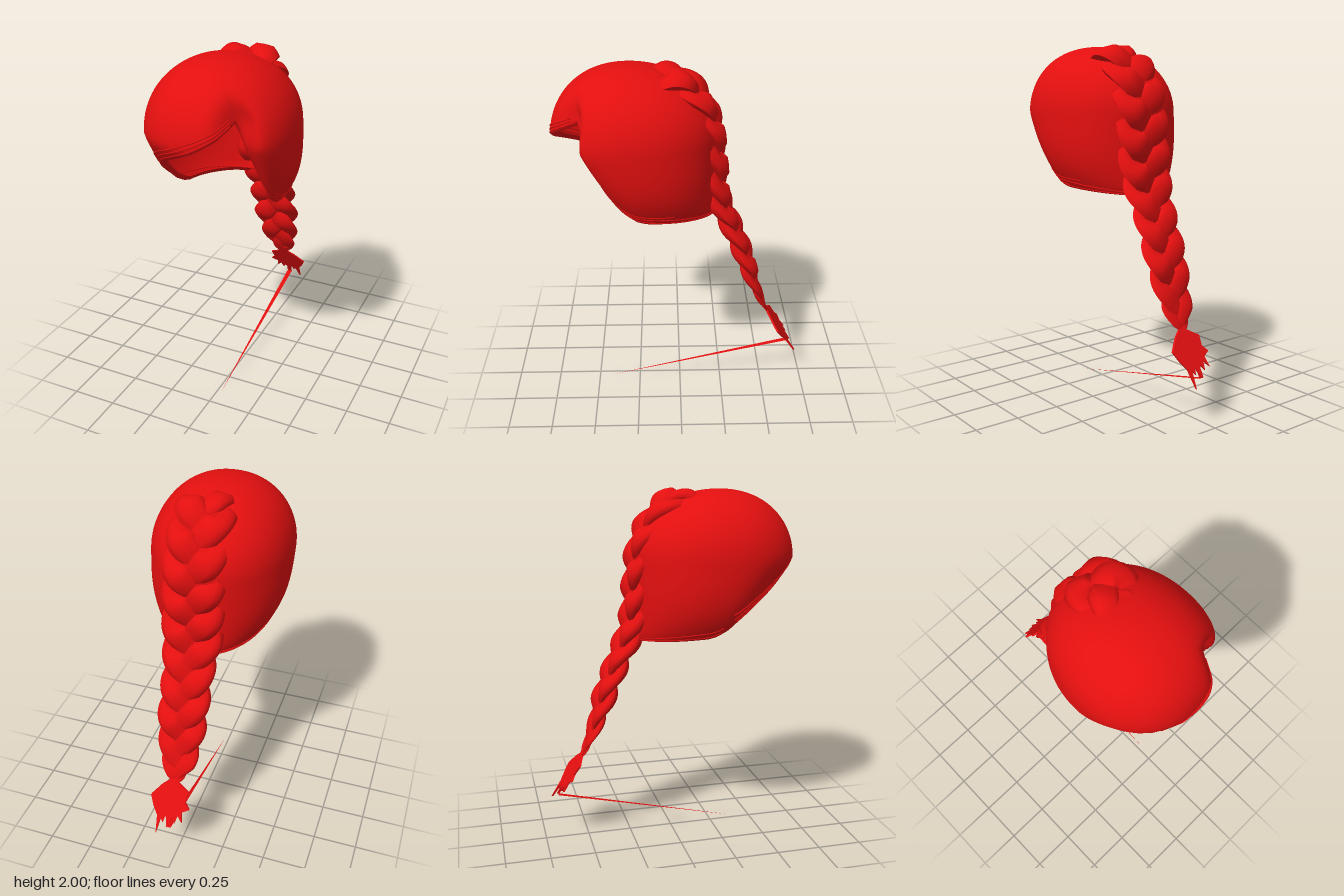
import * as THREE from 'three';

const red = new THREE.MeshStandardMaterial({ color: 0xe30f0f, side: THREE.DoubleSide });
red.name = 'red hair';

// smooth surface from a rule (u, v in 0..1) -> Vector3
function grid(nu, nv, rule) {
  const pos = [], idx = [];
  for (let i = 0; i <= nu; i++)
    for (let j = 0; j <= nv; j++) pos.push(...rule(i / nu, j / nv).toArray());
  for (let i = 0; i < nu; i++)
    for (let j = 0; j < nv; j++) {
      const a = i * (nv + 1) + j, b = a + nv + 1;
      idx.push(a, b, a + 1, b, b + 1, a + 1);
    }
  const g = new THREE.BufferGeometry();
  g.setAttribute('position', new THREE.Float32BufferAttribute(pos, 3));
  g.setIndex(idx);
  g.computeVertexNormals();
  return g;
}

// linear lookup in a list of [key, value]
function lookup(table, k) {
  for (let i = 1; i < table.length; i++) {
    const [k0, v0] = table[i - 1], [k1, v1] = table[i];
    if (k <= k1) return v0 + (v1 - v0) * Math.max(0, (k - k0) / (k1 - k0));
  }
  return table[table.length - 1][1];
}

// hem height by angle from the front, positive towards +x
const hemTable = [[-180, 1.18], [-130, 1.2], [-95, 1.22], [-75, 1.27], [-60, 1.35], [-45, 1.43],
  [-25, 1.52], [0, 1.61], [20, 1.69], [30, 1.75], [35, 1.64], [45, 1.42], [60, 1.27],
  [75, 1.23], [95, 1.215], [130, 1.2], [180, 1.18]];
const hem = deg => lookup(hemTable, deg);

// point on the head of hair at an angle and height
function headPoint(deg, y, scale = 1) {
  const a = deg * Math.PI / 180;
  let w, zc, front, back;
  if (y > 1.62) {
    const k = Math.sqrt(Math.max(0, 1 - ((y - 1.62) / 0.37) ** 2));
    w = 0.39 * k ** 0.93; zc = 0.27; front = 0.42 * k ** 0.9; back = 0.48 * k;
  } else {
    const d = (1.62 - y) / 0.44;
    w = 0.39 * (1 - 0.33 * d ** 3);
    zc = 0.27 - 0.1 * d;
    front = 0.69 - 0.38 * d ** 1.1 - zc;
    back = 0.21 + zc;
  }
  // parting dent beside the fringe
  const low = THREE.MathUtils.smoothstep(1.93 - y, 0, 0.2);
  const dent = 1 - 0.32 * low * Math.exp(-(((deg - 34) / (deg < 34 ? 10 : 17)) ** 2));
  const s = Math.sin(a), c = Math.cos(a), e = 0.94;
  const x = Math.sign(s) * Math.abs(s) ** e * w;
  const z = Math.sign(c) * Math.abs(c) ** e * (c > 0 ? front : back);
  return new THREE.Vector3(x * scale, y, zc + z * dent * scale);
}

function capGeometry() {
  const rows = 30;
  return grid(144, rows + 2, (u, v) => {
    const deg = -180 + 360 * u, r = Math.round(v * (rows + 2)), h = hem(deg);
    if (r > rows) return headPoint(deg, h, r === rows + 1 ? 0.96 : 0.9)
      .add(new THREE.Vector3(0, r === rows + 1 ? -0.012 : 0.015, 0)); // rolled-under edge
    return headPoint(deg, 1.99 - (1.99 - h) * (r / rows) ** 1.8);
  });
}

// thin lock lying on the head, a given distance above the hem
function lockGeometry(from, to, lift0, lift1, radius) {
  const pts = [];
  for (let i = 0; i <= 14; i++) {
    const t = i / 14, deg = from + (to - from) * t;
    pts.push(headPoint(deg, hem(deg) + lift0 + (lift1 - lift0) * t));
  }
  return new THREE.TubeGeometry(new THREE.CatmullRomCurve3(pts), 40, radius, 5);
}

// braid spine as [y, z]
const spine = new THREE.CatmullRomCurve3([[1.91, 0.19], [1.925, 0.03], [1.85, -0.07],
  [1.7, -0.155], [1.5, -0.185], [1.3, -0.205], [1.18, -0.24], [1.05, -0.3], [0.85, -0.38],
  [0.7, -0.43], [0.48, -0.525]].map(([y, z]) => new THREE.Vector3(0.03, y, z)));
const spineLength = spine.getLength();
const braidWidth = [[0, 0.12], [0.1, 0.17], [0.5, 0.17], [0.62, 0.145], [0.8, 0.14],
  [0.93, 0.105], [1, 0.035]];
const braidDepth = [[0, 0.95], [0.4, 0.95], [0.55, 0.9], [0.8, 0.85], [0.92, 0.45], [1, 0.35]];

// one of three woven strands
function strandGeometry(k) {
  const turns = 3.4, X = new THREE.Vector3(1, 0, 0);
  return grid(150, 12, (s, v) => {
    const a = 2 * Math.PI * (s * turns + k / 3), th = 2 * Math.PI * v;
    const W = lookup(braidWidth, s), A = 0.56 * W, end = Math.min(1, s / 0.025, (1 - s) / 0.02);
    const r = 0.46 * W * Math.sqrt(Math.max(0, end)) * (1 + 0.05 * Math.cos(6 * th));
    const slope = A * Math.cos(a) * 2 * Math.PI * turns / spineLength, q = Math.hypot(1, slope);
    const x = A * Math.sin(a) + r * Math.cos(th) / q;
    const along = s - r * Math.cos(th) * slope / q / spineLength;
    const depth = lookup(braidDepth, s) * (0.19 * W * Math.sin(2 * a) + 0.62 * r * Math.sin(th));
    const at = Math.min(1, Math.max(0, along));
    const n = new THREE.Vector3().crossVectors(spine.getTangentAt(at), X);
    return spine.getPointAt(at).addScaledVector(X, x).addScaledVector(n, depth);
  });
}

// flat ragged tuft below the braid, sloped backwards
function tuftGeometry() {
  const outline = [[0.0, 0.53], [0.07, 0.53], [0.06, 0.49], [0.1, 0.46], [0.155, 0.4], [0.13, 0.35],
    [0.1, 0.31], [0.09, 0.22], [0.075, 0.3], [0.06, 0.28], [0.05, 0.32], [0.03, 0.26],
    [0.01, 0.32], [-0.01, 0.29], [-0.02, 0.33], [-0.05, 0.3], [-0.04, 0.35], [-0.08, 0.37],
    [-0.05, 0.4], [-0.06, 0.45], [-0.02, 0.47], [0.015, 0.49]];
  const shape = new THREE.Shape(outline.map(p => new THREE.Vector2(...p)));
  const g = new THREE.ExtrudeGeometry(shape, { depth: 0.012, bevelEnabled: false });
  const p = g.attributes.position;
  for (let i = 0; i < p.count; i++)
    p.setZ(i, p.getZ(i) - 0.522 + (p.getY(i) - 0.5) * 0.65);
  g.computeVertexNormals();
  return g;
}

// long tapering stray hair running forward to the ground
function strayGeometry() {
  const g = new THREE.BufferGeometry();
  g.setAttribute('position', new THREE.Float32BufferAttribute([
    0.01, 0.29, -0.65, 0.01, 0.257, -0.668, 0.04, 0.257, -0.668, 0.04, 0.29, -0.65,
    0.025, 0, 0.4], 3));
  g.setIndex([0, 1, 2, 0, 2, 3, 1, 4, 2]);
  const flat = g.toNonIndexed();
  flat.computeVertexNormals();
  return flat;
}

export function createModel() {
  const model = new THREE.Group();
  model.name = 'braidedHair';
  const add = (name, geometry) => {
    const m = new THREE.Mesh(geometry, red);
    m.name = name;
    model.add(m);
  };
  add('hairCap', capGeometry());
  // swept fringe locks and side locks
  for (let i = 0; i < 3; i++) {
    add('fringeLock', lockGeometry(27, -70 - 5 * i, 0.005 + 0.015 * i, 0.01 + 0.04 * i, 0.005));
    add('sideLock', lockGeometry(38 + 2 * i, 95 + 8 * i, 0.01 + 0.02 * i, 0.005 + 0.02 * i, 0.004));
  }
  // loose hairs along the nape
  for (const side of [-1, 1])
    for (let i = 0; i < 2; i++)
      add('napeHair', lockGeometry(side * 85, side * (165 - 12 * i), 0.03 * i, -0.008 + 0.012 * i, 0.004));
  for (let k = 0; k < 3; k++) add('braidStrand', strandGeometry(k));
  add('braidTuft', tuftGeometry());
  add('strayHair', strayGeometry());
  return model;
}
